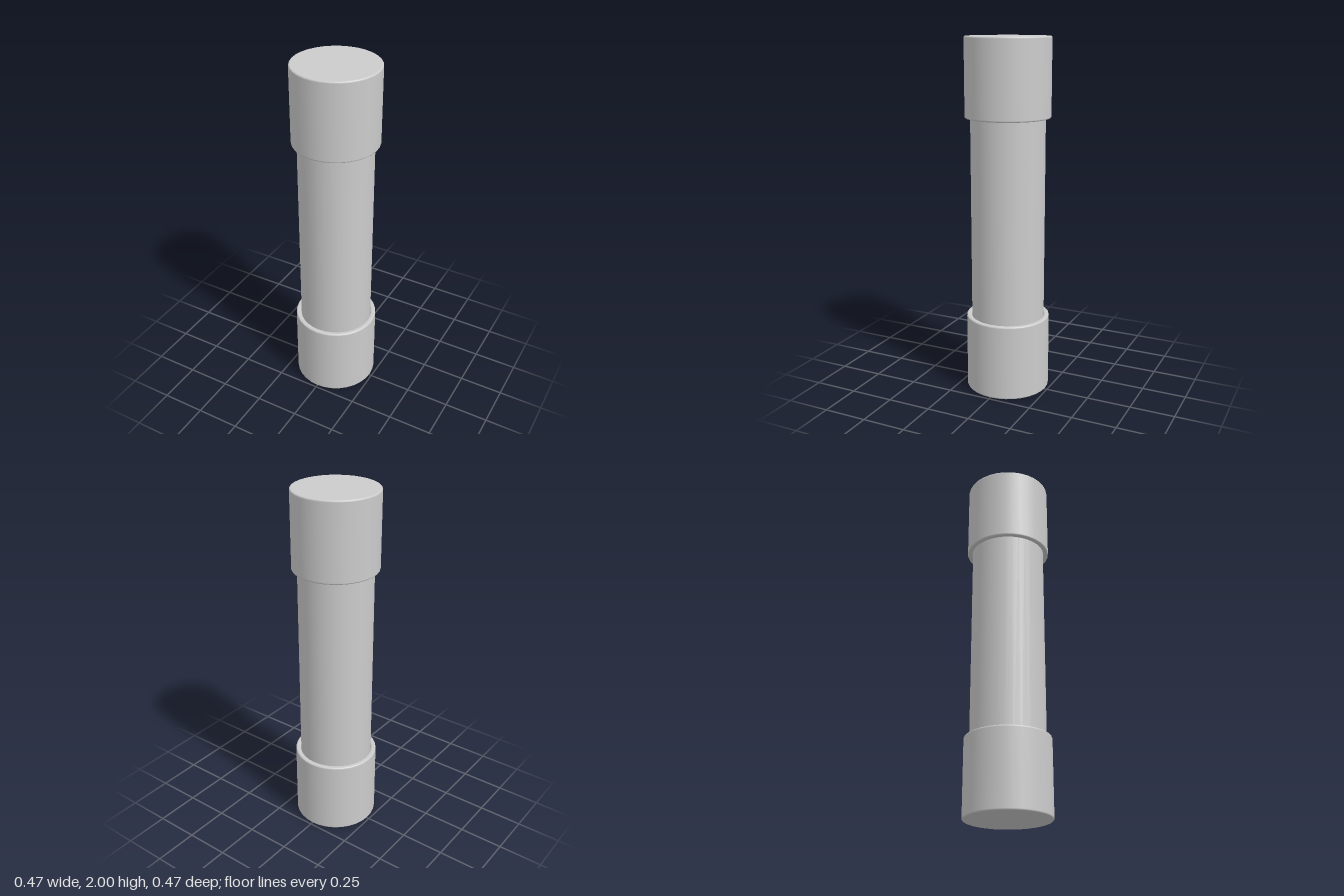
import * as THREE from 'three';

const SIDES = 32;
const CAP_R = 0.237, CAP_H = 0.435, TUBE_R = 0.207, BEVEL = 0.008;

// Quarter-round edge between two angles, as profile points
function roundedEdge(cx, cy, from, to) {
  return Array.from({ length: 5 }, (_, i) => {
    const a = from + (to - from) * i / 4;
    return new THREE.Vector2(cx + BEVEL * Math.cos(a), cy + BEVEL * Math.sin(a));
  });
}

export function createModel() {
  const model = new THREE.Group();
  model.name = 'cartridgeFuse';
  const material = new THREE.MeshStandardMaterial({ color: 0xcccccc, side: THREE.DoubleSide });

  // Cup profile: closed end, rounded outer edges, rolled rim meeting the tube.
  // Support points beside each edge keep the flat and straight areas crisp.
  const inset = CAP_R - BEVEL;
  const profile = [
    new THREE.Vector2(0, 0),
    new THREE.Vector2(inset - 0.002, 0),
    ...roundedEdge(inset, BEVEL, -Math.PI / 2, 0),
    new THREE.Vector2(CAP_R, BEVEL + 0.002),
    new THREE.Vector2(CAP_R, CAP_H - BEVEL - 0.002),
    ...roundedEdge(inset, CAP_H - BEVEL, 0, Math.PI / 2),
    new THREE.Vector2(inset - 0.002, CAP_H),
    ...roundedEdge(TUBE_R + 0.001 + BEVEL, CAP_H - BEVEL, Math.PI / 2, Math.PI),
    new THREE.Vector2(TUBE_R + 0.001, CAP_H - 0.04),
  ];
  const capGeometry = new THREE.LatheGeometry(profile, SIDES);

  // Matching end caps, the upper one turned over
  for (const [name, y, turn] of [['bottomCap', 0, 0], ['topCap', 2, Math.PI]]) {
    const cap = new THREE.Mesh(capGeometry, material);
    cap.name = name;
    cap.position.y = y;
    cap.rotation.x = turn;
    model.add(cap);
  }

  // Tube body, seated inside both caps
  const tube = new THREE.Mesh(new THREE.CylinderGeometry(TUBE_R, TUBE_R, 1.96, SIDES), material);
  tube.name = 'tubeBody';
  tube.position.y = 1;
  model.add(tube);

  return model;
}
